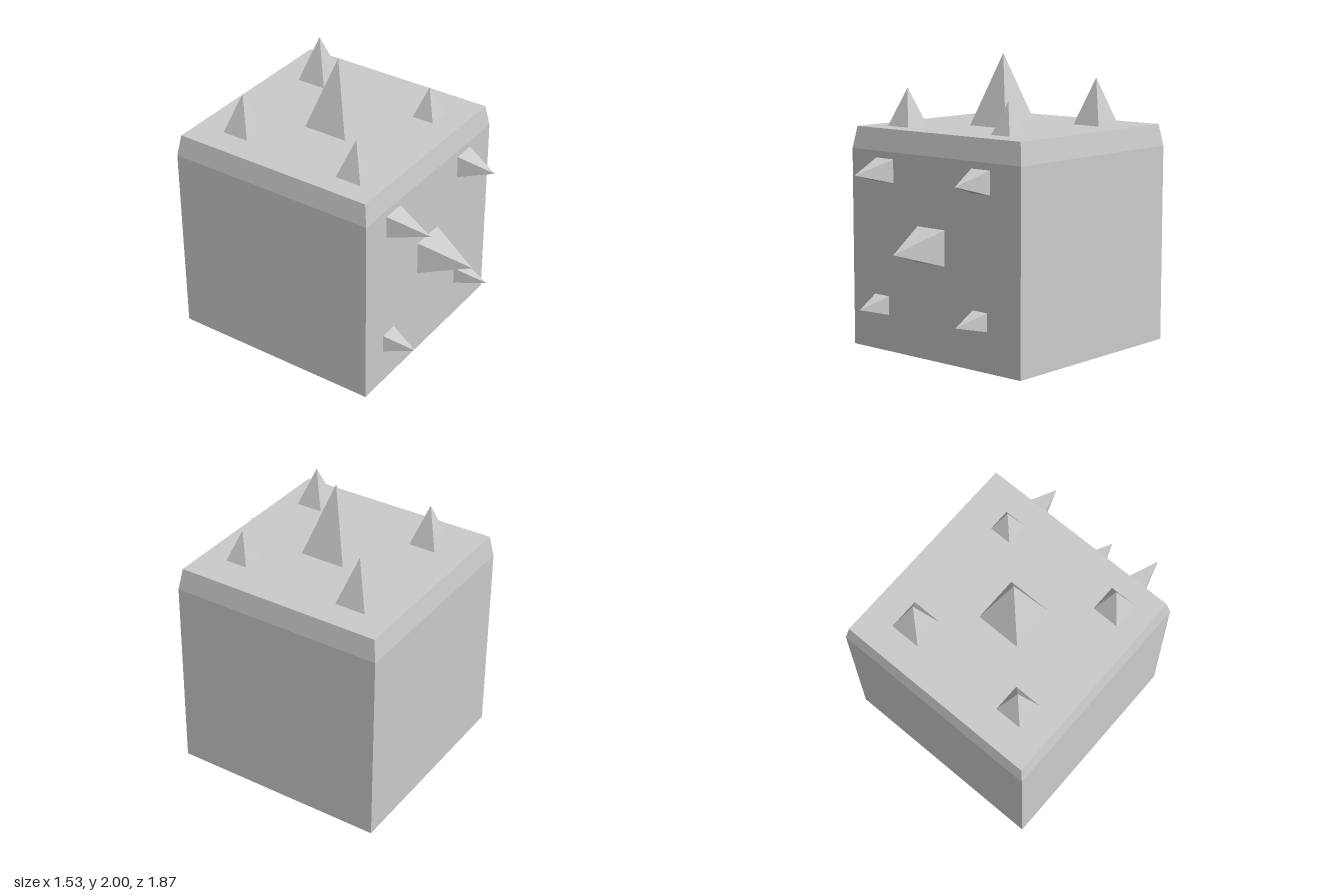
import * as THREE from 'three';

const YAW = 0.02; // the whole block is turned very slightly
const material = new THREE.MeshStandardMaterial({ color: 0xcccccc, flatShading: true });

// Four-sided spike with its base centre at the origin, pointing up
function makeSpike(name, side, height) {
  const geometry = new THREE.ConeGeometry(side / Math.SQRT2, height, 4, 1);
  geometry.rotateY(Math.PI / 4).translate(0, height / 2, 0);
  const mesh = new THREE.Mesh(geometry, material);
  mesh.name = name;
  mesh.rotation.order = 'YXZ';
  mesh.rotation.y = YAW;
  return mesh;
}

export function createModel() {
  const model = new THREE.Group();
  model.name = 'spikedBlock';

  // Square block with a steep bevel round its top
  const bottom = 1.505 / Math.SQRT2, top = 1.455 / Math.SQRT2;
  const profile = [[0, 0], [bottom, 0], [bottom, 1.36], [top, 1.51], [0, 1.51]]
    .map(([x, y]) => new THREE.Vector2(x, y));
  const bodyGeometry = new THREE.LatheGeometry(profile, 4, Math.PI / 4).toNonIndexed();
  bodyGeometry.computeVertexNormals();
  const body = new THREE.Mesh(bodyGeometry, material);
  body.name = 'block';
  body.position.z = -0.168;
  body.rotation.y = YAW;
  model.add(body);

  // Spikes on top: x, z, base width, tip height
  const topSpikes = [
    [-0.018, -0.13, 0.319, 2.0],
    [-0.452, -0.585, 0.192, 1.787],
    [0.41, -0.6, 0.216, 1.83],
    [-0.47, 0.335, 0.188, 1.77],
    [0.418, 0.3, 0.157, 1.725],
  ];
  for (const [x, z, side, tip] of topSpikes) {
    const spike = makeSpike('topSpike', side, tip - 1.51);
    spike.position.set(x, 1.51, z);
    model.add(spike);
  }

  // Spikes on the front, drooping a little: x, y, base width, tip depth
  const frontSpikes = [
    [-0.004, 0.767, 0.244, 0.935],
    [-0.428, 1.233, 0.161, 0.872],
    [0.433, 1.233, 0.16, 0.818],
    [-0.467, 0.314, 0.131, 0.804],
    [0.424, 0.332, 0.126, 0.807],
  ];
  for (const [x, y, side, tip] of frontSpikes) {
    const base = 0.582 - YAW * x;
    const spike = makeSpike('frontSpike', side, tip - base);
    spike.position.set(x, y, base);
    spike.rotation.x = Math.PI / 2 + 0.028;
    model.add(spike);
  }
  return model;
}
